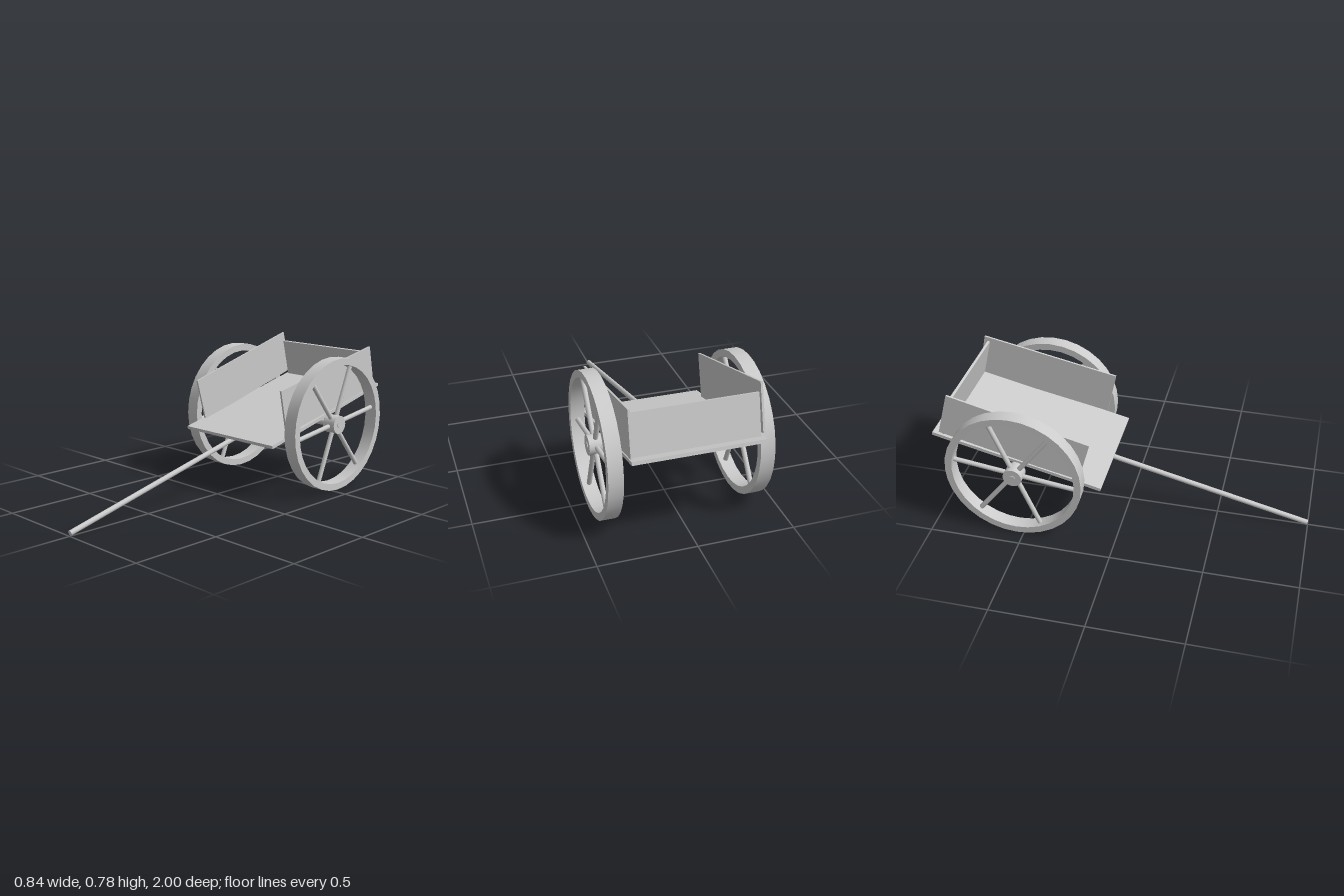
import * as THREE from 'three';
import { toCreasedNormals } from 'three/addons/utils/BufferGeometryUtils.js';

const grey = new THREE.MeshStandardMaterial({ color: 0xcccccc });

function add(parent, name, geometry, x = 0, y = 0, z = 0) {
  const mesh = new THREE.Mesh(geometry, grey);
  mesh.name = name;
  mesh.position.set(x, y, z);
  parent.add(mesh);
  return mesh;
}

// Cylinder lying along x
const rodX = (radius, length, sides) =>
  new THREE.CylinderGeometry(radius, radius, length, sides).rotateZ(Math.PI / 2);

// Wheel around the x axis: flat rim, hub and six spokes
function makeWheel() {
  const wheel = new THREE.Group();
  const outer = 0.372, inner = 0.334, half = 0.0375;
  const profile = [[inner, -half], [outer, -half], [outer, half], [inner, half], [inner, -half]]
    .map(([r, h]) => new THREE.Vector2(r, h));
  const rim = toCreasedNormals(new THREE.LatheGeometry(profile, 32), 0.6);
  add(wheel, 'rim', rim.rotateZ(Math.PI / 2));
  add(wheel, 'hub', rodX(0.051, 0.076, 20));
  for (let i = 0; i < 6; i++) {
    const spoke = new THREE.CylinderGeometry(0.013, 0.013, 0.32, 10).translate(0, 0.19, 0);
    add(wheel, 'spoke', spoke).rotation.x = THREE.MathUtils.degToRad(8 + 60 * i - 90);
  }
  return wheel;
}

export function createModel() {
  const cart = new THREE.Group();
  cart.name = 'handCart';
  const axleY = 0.373, axleZ = -0.54;

  // Running gear
  add(cart, 'axle', rodX(0.018, 0.838, 16), 0, axleY, axleZ);
  for (const side of [-1, 1]) {
    const wheel = makeWheel();
    wheel.name = side > 0 ? 'leftWheel' : 'rightWheel';
    wheel.position.set(side * 0.3775, axleY, axleZ);
    cart.add(wheel);
  }

  // Draw pole from the ground up to just behind the axle
  const start = new THREE.Vector3(0, 0.016, 0.997);
  const end = new THREE.Vector3(0, 0.409, -0.595);
  const dir = end.clone().sub(start);
  const pole = add(cart, 'drawPole', new THREE.CylinderGeometry(0.014, 0.014, dir.length(), 16));
  pole.position.copy(start).add(end).multiplyScalar(0.5);
  pole.quaternion.setFromUnitVectors(new THREE.Vector3(0, 1, 0), dir.normalize());

  // Tilted bed: origin at the top front edge of the floor
  const bed = new THREE.Group();
  bed.name = 'bed';
  bed.position.set(0, 0.318, -0.083);
  bed.rotation.x = 0.237;
  cart.add(bed);
  add(bed, 'floor', new THREE.BoxGeometry(0.66, 0.018, 0.94), 0, -0.009, -0.47);
  add(bed, 'backBoard', new THREE.BoxGeometry(0.632, 0.214, 0.014), 0, 0.107, -0.884);

  // Side boards, each set slightly askew
  const board = new THREE.BoxGeometry(0.011, 0.246, 0.777);
  add(cart, 'leftBoard', board, 0.319, 0.562, -0.56).rotation.x = 0.207;
  add(cart, 'rightBoard', board, -0.3195, 0.563, -0.551).rotation.set(0.27, 0.018, 0);

  return cart;
}
